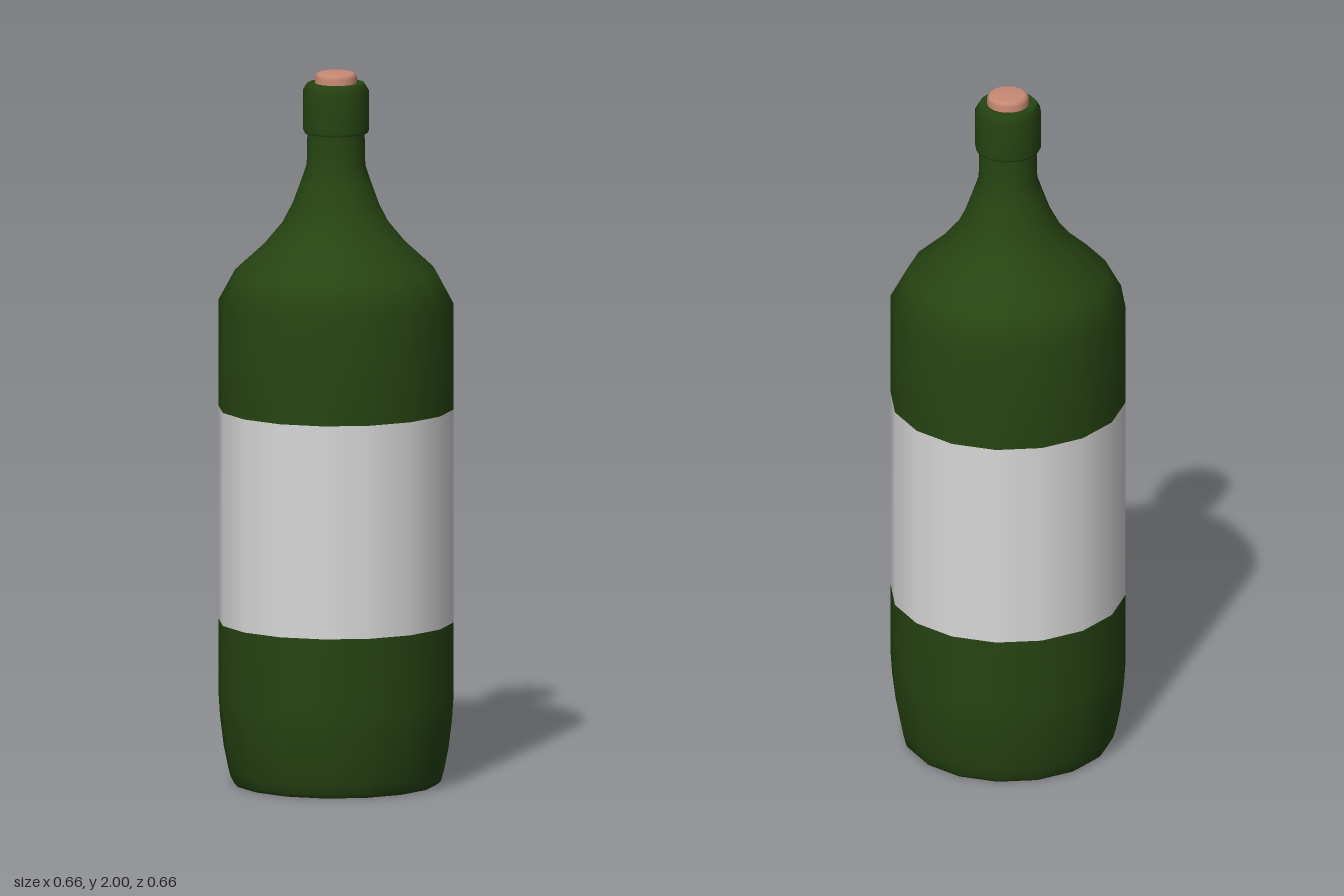
import * as THREE from 'three';

export function createModel() {
  const bottle = new THREE.Group();
  bottle.name = 'bottle';

  const material = (name, color) => {
    const m = new THREE.MeshStandardMaterial({ color });
    m.name = name;
    return m;
  };
  const glass = material('green glass', 0x264412);
  const paper = material('label paper', 0xd8d8d8);
  const cork = material('cork', 0xc88a74);

  // Each part is turned from a profile of [radius, height], bottom to top;
  // separate profiles keep the edges between parts sharp.
  const turn = (name, mat, profile, sides = 16) => {
    const points = profile.map(([r, y]) => new THREE.Vector2(r, y));
    const mesh = new THREE.Mesh(new THREE.LatheGeometry(points, sides), mat);
    mesh.name = name;
    bottle.add(mesh);
  };

  const R = 0.328;

  // Flat underside and the tapered lower body
  turn('base', glass, [[0, 0], [0.285, 0]]);
  turn('lowerBody', glass, [
    [0.285, 0], [0.294, 0.01], [0.302, 0.04], [0.314, 0.1], [0.324, 0.18], [R, 0.24], [R, 0.455],
  ]);

  // Paper label wrapped flush around the body
  turn('label', paper, [[R, 0.455], [R, 1.055]]);

  // Upper body, shoulder and neck
  turn('upperBodyAndNeck', glass, [
    [R, 1.055], [R, 1.355], [0.282, 1.44], [0.2, 1.515], [0.15, 1.575],
    [0.121, 1.63], [0.099, 1.69], [0.082, 1.74], [0.08, 1.83],
  ]);

  // Collar around the mouth
  turn('collarUnderside', glass, [[0.08, 1.83], [0.088, 1.83]]);
  turn('collar', glass, [[0.088, 1.83], [0.092, 1.838], [0.092, 1.95], [0.08, 1.97]]);
  turn('collarTop', glass, [[0.08, 1.97], [0.05, 1.97]]);

  // Cork with a softly rounded edge
  turn('cork', cork, [[0.058, 1.95], [0.058, 1.986], [0.054, 1.996], [0.046, 2], [0, 2]], 32);

  return bottle;
}
